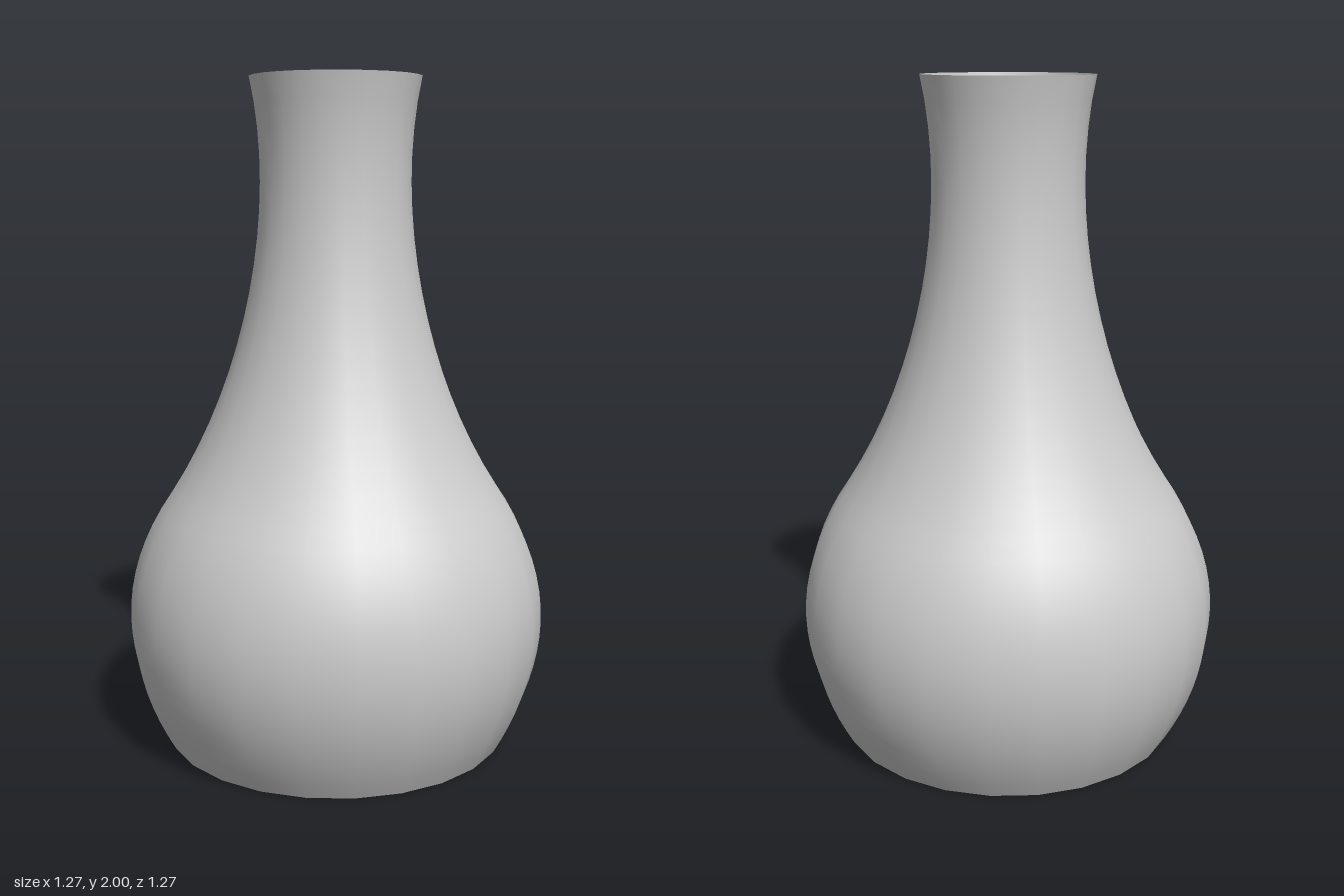
import * as THREE from 'three';

export function createModel() {
  const group = new THREE.Group();
  group.name = 'vase';
  const v = (x, y) => new THREE.Vector2(x, y);

  // Profile: round belly, then a slender neck flaring at the lip
  const profile = new THREE.CurvePath();
  profile.add(new THREE.CubicBezierCurve(v(0.52, 0), v(0.66, 0.24), v(0.69, 0.5), v(0.5, 0.77)));
  profile.add(new THREE.CubicBezierCurve(v(0.5, 0.77), v(0.27, 1.12), v(0.17, 1.62), v(0.254, 2)));
  const points = profile.curves.flatMap((c, i) => c.getPoints(16).slice(i ? 1 : 0));

  // Thin shell, open at the lip and at the base
  const body = new THREE.Mesh(
    new THREE.LatheGeometry(points, 24),
    new THREE.MeshStandardMaterial({ color: 0xcccccc, side: THREE.DoubleSide })
  );
  body.name = 'vaseBody';
  group.add(body);
  return group;
}
